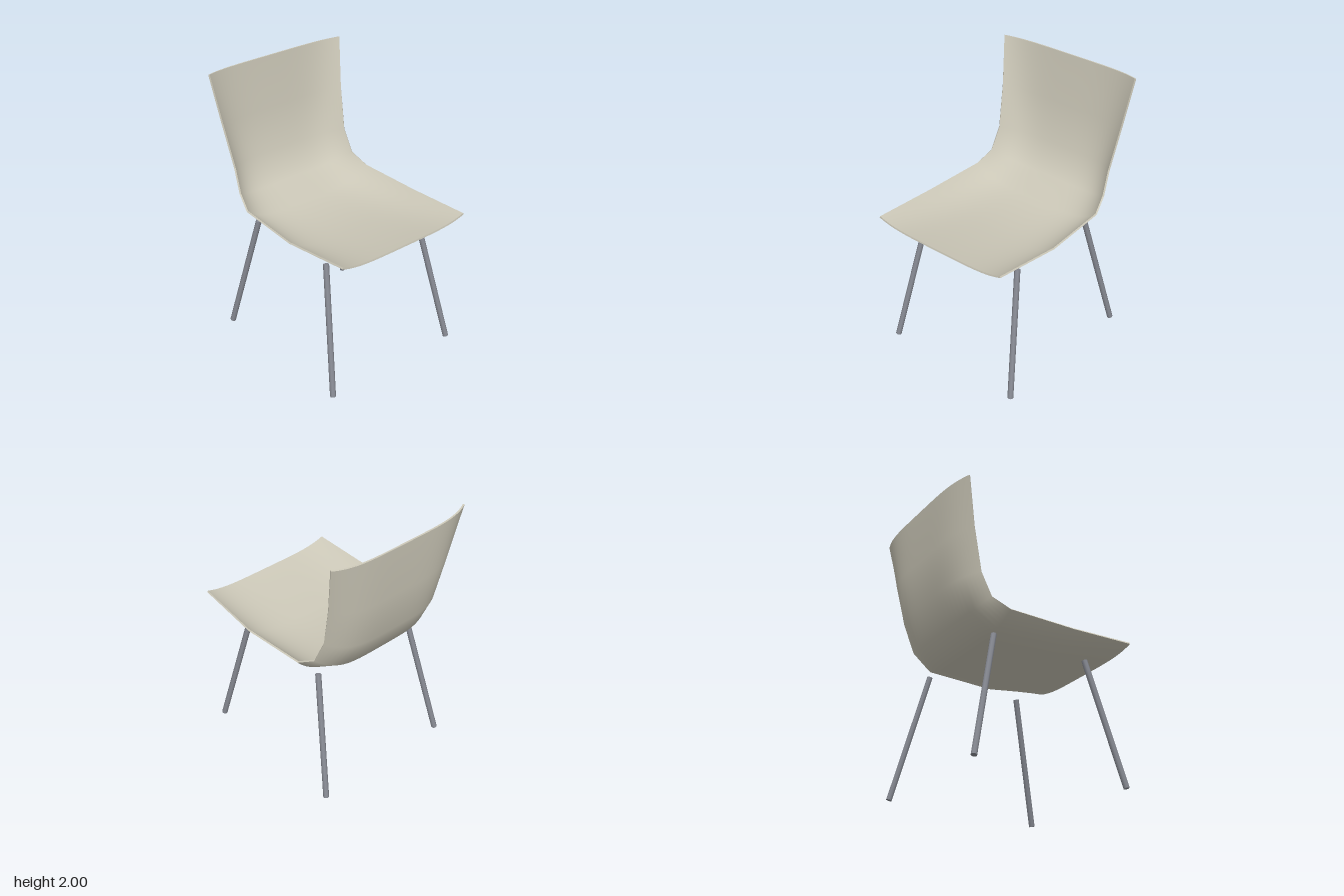
import * as THREE from 'three';
import { mergeGeometries } from 'three/addons/utils/BufferGeometryUtils.js';

// Stations from the front lip of the seat to the top of the back:
// centre z, centre y, side edge z, side edge y, half width
const STATIONS = [
  [0.72, 1.055, 0.72, 1.098, 0.55],
  [0.20, 0.945, 0.20, 1.06, 0.58],
  [-0.34, 0.94, -0.305, 1.075, 0.56],
  [-0.53, 1.06, -0.435, 1.15, 0.525],
  [-0.64, 1.28, -0.51, 1.325, 0.51],
  [-0.69, 1.60, -0.588, 1.64, 0.54],
  [-0.72, 1.985, -0.657, 1.998, 0.58],
];
const ACROSS = 32;
const THICKNESS = 0.012;

function surface(points, index) {
  const g = new THREE.BufferGeometry();
  g.setAttribute('position', new THREE.Float32BufferAttribute(points, 3));
  g.setIndex(index);
  g.computeVertexNormals();
  return g;
}

function shellGeometry() {
  const row = ACROSS + 1;
  const last = STATIONS.length - 1;

  // Outer skin: each cross-section is flat in the middle and curls at the sides
  const outerPoints = [];
  for (const [cz, cy, ez, ey, w] of STATIONS) {
    for (let j = 0; j <= ACROSS; j++) {
      const u = Math.sin((j / ACROSS - 0.5) * Math.PI);
      const k = Math.pow(Math.abs(u), 4.5);
      outerPoints.push(u * w, cy + (ey - cy) * k, cz + (ez - cz) * k);
    }
  }
  const outerIndex = [], innerIndex = [];
  for (let s = 0; s < last; s++) {
    for (let j = 0; j < ACROSS; j++) {
      const a = s * row + j, b = a + 1, c = a + row, d = c + 1;
      outerIndex.push(a, c, b, b, c, d);
      innerIndex.push(a, b, c, b, d, c);
    }
  }
  const outer = surface(outerPoints, outerIndex);

  // Inner skin: the outer one moved inwards by the thickness
  const n = outer.attributes.normal.array;
  const innerPoints = outerPoints.map((v, i) => v - n[i] * THICKNESS);
  const inner = surface(innerPoints, innerIndex);

  // Rim: a strip around the whole border
  const loop = [];
  for (let j = 0; j < ACROSS; j++) loop.push(j);
  for (let s = 0; s < last; s++) loop.push(s * row + ACROSS);
  for (let j = ACROSS; j > 0; j--) loop.push(last * row + j);
  for (let s = last; s > 0; s--) loop.push(s * row);
  const rimPoints = [], rimIndex = [];
  loop.forEach((p, i) => {
    const q = loop[(i + 1) % loop.length];
    const base = rimPoints.length / 3;
    for (const [pts, k] of [[outerPoints, p], [outerPoints, q], [innerPoints, q], [innerPoints, p]]) {
      rimPoints.push(pts[k * 3], pts[k * 3 + 1], pts[k * 3 + 2]);
    }
    rimIndex.push(base, base + 1, base + 2, base, base + 2, base + 3);
  });
  return mergeGeometries([outer, inner, surface(rimPoints, rimIndex)]);
}

function makeLeg(name, top, bottom, material) {
  const axis = top.clone().sub(bottom);
  const leg = new THREE.Mesh(new THREE.CylinderGeometry(0.021, 0.021, axis.length(), 8), material);
  leg.position.copy(top).add(bottom).multiplyScalar(0.5);
  leg.quaternion.setFromUnitVectors(new THREE.Vector3(0, 1, 0), axis.normalize());
  leg.name = name;
  return leg;
}

export function createModel() {
  const chair = new THREE.Group();
  chair.name = 'chair';
  const shellMaterial = new THREE.MeshStandardMaterial({ color: 0xccc8b8 });
  shellMaterial.name = 'warm grey shell';
  const legMaterial = new THREE.MeshStandardMaterial({ color: 0x888b94 });
  legMaterial.name = 'steel grey';

  // One-piece seat and back
  const shell = new THREE.Mesh(shellGeometry(), shellMaterial);
  shell.name = 'seatShell';
  chair.add(shell);

  // Four splayed legs
  for (const [side, x] of [['Left', 1], ['Right', -1]]) {
    for (const [end, topZ, footZ] of [['front', 0.40, 0.62], ['back', -0.355, -0.575]]) {
      chair.add(makeLeg(`${end}${side}Leg`,
        new THREE.Vector3(x * 0.425, 0.933, topZ),
        new THREE.Vector3(x * 0.55, 0.006, footZ), legMaterial));
    }
  }
  return chair;
}
